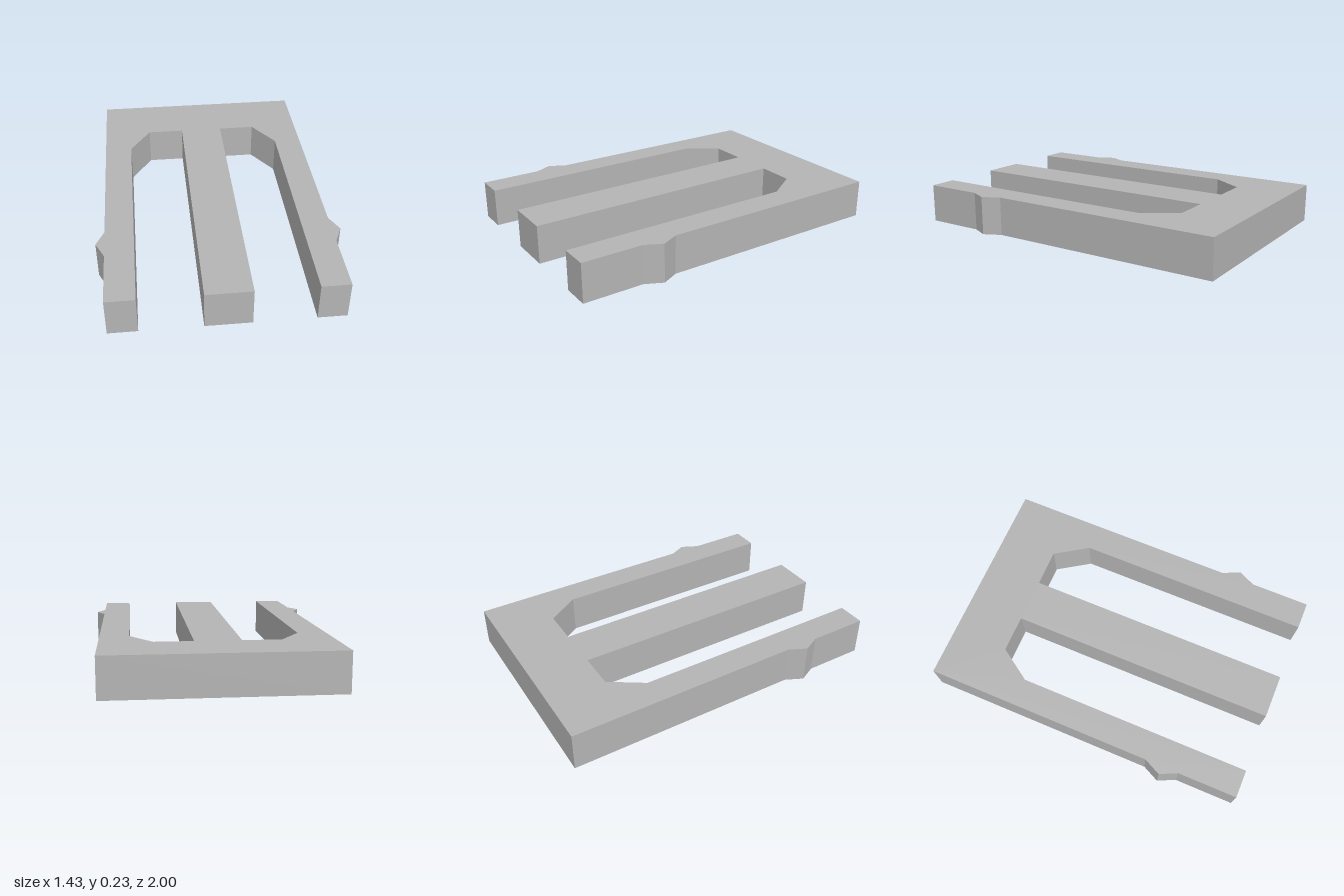
import * as THREE from 'three';

const HEIGHT = 0.235;

// Half of the plan outline as [x, z], from the middle finger's tip round to the back corner
const HALF = [
  [0.135, 1], [0.135, -0.65],                      // middle finger side
  [0.363, -0.65], [0.495, -0.45],                  // slot end with chamfer
  [0.495, 1], [0.665, 1],                          // outer arm tip
  [0.665, 0.635], [0.715, 0.53], [0.665, 0.425],   // snap catch
  [0.665, -1],                                     // back corner
];

export function createModel() {
  const group = new THREE.Group();
  group.name = 'snapClip';
  const grey = new THREE.MeshStandardMaterial({ color: 0xb4b4b4 });
  grey.name = 'grey plastic';

  // Mirror the half outline; shape y is -z so that it lies flat after turning
  const mirrored = HALF.map(([x, z]) => [-x, z]).reverse();
  const outline = [...HALF, ...mirrored].map(([x, z]) => new THREE.Vector2(x, -z));

  // One solid plate: back bar, middle finger and two outer arms with catches
  const geometry = new THREE.ExtrudeGeometry(new THREE.Shape(outline), {
    depth: HEIGHT,
    bevelEnabled: false,
  });
  geometry.rotateX(-Math.PI / 2);

  const body = new THREE.Mesh(geometry, grey);
  body.name = 'prongedClipBody';
  group.add(body);
  return group;
}
